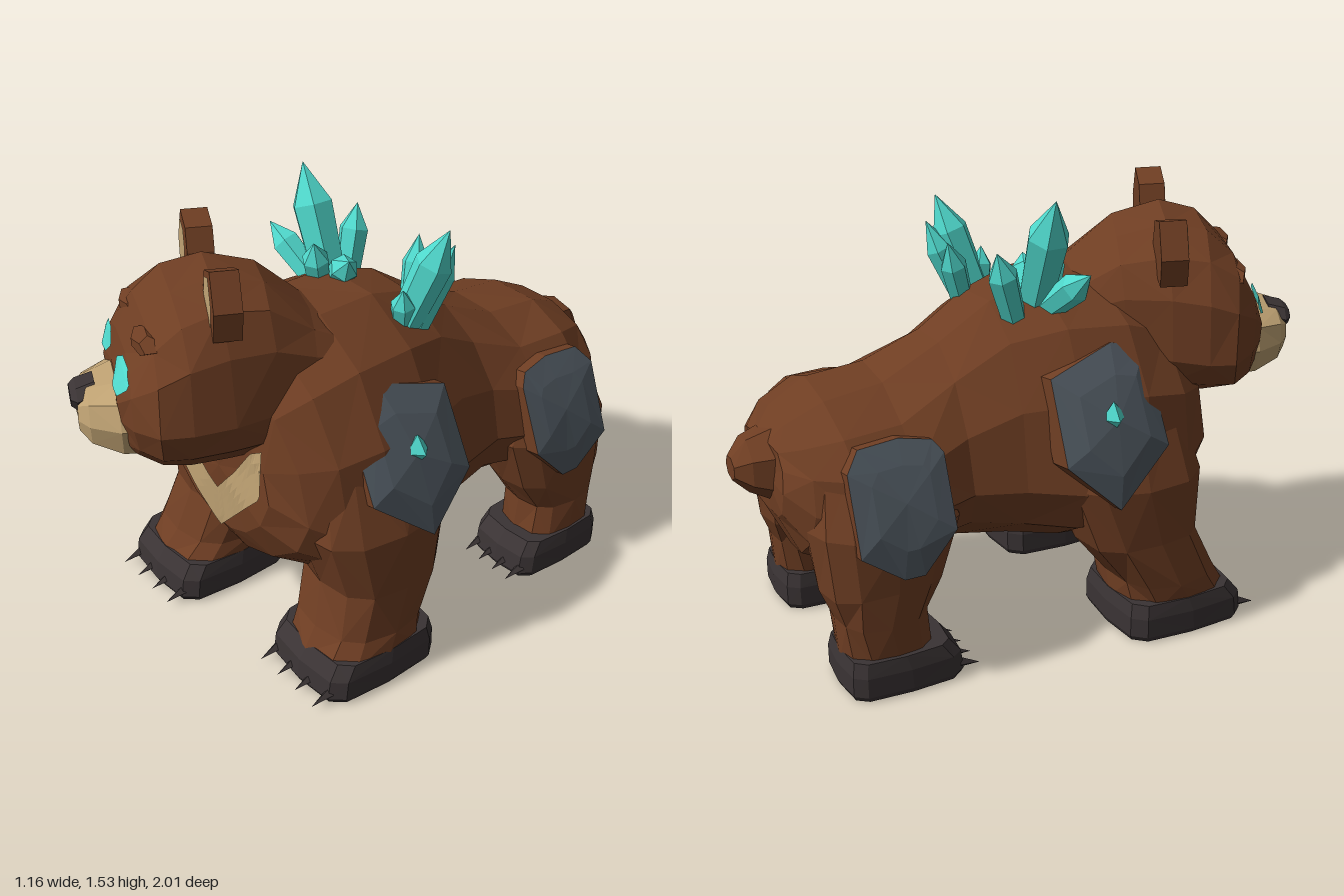
import * as THREE from 'three';

const mat = (name, color, side = THREE.FrontSide) => {
  const m = new THREE.MeshStandardMaterial({ color, side });
  m.name = name;
  return m;
};
const V = (x, y, z) => new THREE.Vector3(x, y, z);
const pow = (c, e) => Math.sign(c) * Math.abs(c) ** e;

// Ring facing z, widest at height cy; e and low square off (small) or slim (large) its two halves
function zRing(z, top, bot, w, cy = (top + bot) / 2, n = 14, e = 0.96, low = e) {
  return Array.from({ length: n }, (_, j) => {
    const a = (j / n) * Math.PI * 2, s = Math.sin(a), up = s > 0;
    return V(w * pow(Math.cos(a), up ? e : low), cy + (up ? top - cy : cy - bot) * pow(s, up ? e : Math.min(low, 1)), z);
  });
}

// Horizontal ring filling a rectangle; a small e squares it off
function yRing(y, xa, xb, z0, z1, e = 0.75, n = 12) {
  return Array.from({ length: n }, (_, j) => {
    const a = (j / n) * Math.PI * 2;
    return V((xa + xb) / 2 + (Math.abs(xb - xa) / 2) * pow(Math.cos(a), e), y,
      (z0 + z1) / 2 - ((z1 - z0) / 2) * pow(Math.sin(a), e));
  });
}

function triangles(list) {
  const g = new THREE.BufferGeometry().setFromPoints(list);
  g.computeVertexNormals();
  return g;
}

// Faceted closed skin over rings, with a little unevenness
function loft(rings, rough = 0) {
  let k = 0;
  const wob = () => Math.sin(++k * 12.9898) * rough;
  const r = rings.map(ring => ring.map(p => V(p.x + wob(), p.y + wob(), p.z + wob())));
  const out = [], n = r[0].length, last = r.length - 1;
  const mid = ring => ring.reduce((s, p) => s.add(p), V(0, 0, 0)).divideScalar(n);
  const c0 = mid(r[0]), c1 = mid(r[last]);
  for (let j = 0; j < n; j++) {
    const q = (j + 1) % n;
    out.push(c0, r[0][q], r[0][j], c1, r[last][j], r[last][q]);
    for (let i = 0; i < last; i++) {
      const [a, b, c, d] = [r[i][j], r[i][q], r[i + 1][q], r[i + 1][j]];
      if ((i + j) % 2) out.push(a, b, c, a, c, d);
      else out.push(a, b, d, b, c, d);
    }
  }
  return triangles(out);
}

// Thin patch laid on a target from the front; columns are [x, bottom, top]
function patch(target, columns, lift, rows = 5, sub = 4) {
  const ray = new THREE.Raycaster(), grid = [], out = [];
  const lerp = THREE.MathUtils.lerp;
  for (let i = 0; i <= (columns.length - 1) * sub; i++) {
    const k = Math.min(Math.floor(i / sub), columns.length - 2), t = i / sub - k;
    const [x, b, top] = columns[k].map((v, m) => lerp(v, columns[k + 1][m], t));
    grid.push(Array.from({ length: rows + 1 }, (_, j) => {
      const y = lerp(b, top, j / rows);
      ray.set(V(x, y, 3), V(0, 0, -1));
      const hit = ray.intersectObject(target, false)[0];
      return V(x, y, (hit ? hit.point.z : 0.5) + lift);
    }));
  }
  for (let i = 0; i + 1 < grid.length; i++) for (let j = 0; j < rows; j++) {
    const [a, b, c, d] = [grid[i][j], grid[i + 1][j], grid[i + 1][j + 1], grid[i][j + 1]];
    out.push(a, b, c, a, c, d);
  }
  return triangles(out);
}

export function createModel() {
  const model = new THREE.Group();
  const fur = mat('brownFur', 0x6f3e23);
  const furRim = mat('brownRim', 0x6f3e23, THREE.DoubleSide);
  const tan = mat('tanFur', 0xbfa273, THREE.DoubleSide);
  const dark = mat('darkPaw', 0x3a3334);
  const slate = mat('slateArmour', 0x4e575f, THREE.DoubleSide);
  const cyan = mat('cyanCrystal', 0x4fd8cc, THREE.DoubleSide);
  const add = (name, geo, material, parent = model) => {
    const m = new THREE.Mesh(geo, material);
    m.name = name;
    parent.add(m);
    return m;
  };

  // Torso and tail
  const torso = (z, top, bot, w, cy) => zRing(z, top, bot, w, cy, 14, 0.96, 1.35);
  const body = add('body', loft([
    torso(-0.89, 0.8, 0.52, 0.22, 0.68), torso(-0.83, 0.87, 0.4, 0.33, 0.62),
    torso(-0.7, 0.93, 0.34, 0.42, 0.59), torso(-0.5, 0.945, 0.3, 0.42, 0.59),
    torso(-0.3, 1.04, 0.3, 0.37, 0.62), torso(-0.12, 1.17, 0.28, 0.41, 0.61),
    torso(0.06, 1.23, 0.27, 0.49, 0.58), torso(0.28, 1.23, 0.27, 0.52, 0.58),
    torso(0.44, 1.17, 0.3, 0.49, 0.6), torso(0.55, 1.08, 0.36, 0.41, 0.66),
    torso(0.61, 0.95, 0.46, 0.28, 0.7),
  ], 0.01), fur);
  add('tail', loft([
    zRing(-1, 0.74, 0.66, 0.05, 0.7, 7), zRing(-0.95, 0.8, 0.61, 0.1, 0.7, 7),
    zRing(-0.86, 0.83, 0.56, 0.14, 0.7, 7),
  ]), fur);

  // Legs, paws and claws; the right foreleg steps ahead
  for (const s of [1, -1]) {
    const side = s > 0 ? 'left' : 'right';
    const step = s > 0 ? 0 : 0.1;
    const ring = (y, a, b, z0, z1, e) => yRing(y, s * a, s * b, z0, z1, e);
    add(side + 'FrontLeg', loft([
      ring(0.11, 0.18, 0.57, 0.12 + step, 0.55 + step), ring(0.2, 0.17, 0.565, 0.12 + step * 0.8, 0.5 + step * 0.8),
      ring(0.36, 0.14, 0.56, 0.04 + step * 0.5, 0.46 + step * 0.6),
      ring(0.58, 0.12, 0.555, -0.01, 0.53), ring(0.8, 0.12, 0.47, 0.03, 0.48), ring(0.95, 0.1, 0.38, 0.08, 0.42),
    ], 0.006), fur);
    add(side + 'HindLeg', loft([
      ring(0.11, 0.19, 0.46, -0.77, -0.46), ring(0.25, 0.18, 0.455, -0.79, -0.48),
      ring(0.36, 0.14, 0.46, -0.82, -0.41), ring(0.56, 0.1, 0.455, -0.85, -0.34),
      ring(0.76, 0.08, 0.35, -0.8, -0.4),
    ], 0.006), fur);
    const paws = [['FrontPaw', 0.165, 0.58, 0.1 + step, 0.58 + step], ['HindPaw', 0.17, 0.48, -0.785, -0.37]];
    for (const [part, x0, x1, z0, z1] of paws) {
      add(side + part, loft([
        ring(0, x0 + 0.01, x1 - 0.01, z0 + 0.01, z1 - 0.01, 0.42), ring(0.02, x0, x1, z0, z1, 0.42),
        ring(0.09, x0, x1, z0, z1 - 0.01, 0.42), ring(0.14, x0 + 0.01, x1 - 0.01, z0 + 0.01, z1 - 0.05, 0.45),
      ]), dark);
      for (let i = 0; i < 4; i++) {
        const claw = add(side + part + 'Claw', new THREE.ConeGeometry(0.02, 0.08, 4).toNonIndexed(), dark);
        claw.geometry.computeVertexNormals();
        claw.position.set(s * (x0 + (x1 - x0) * (0.15 + i * 0.235)), 0.03, z1 + 0.01);
        claw.rotation.x = Math.PI / 2 + 0.25;
      }
    }

    // Armour plates, outlined as [z, y], wrapped over the flank
    const plate = (name, outline, bulge, dz) => {
      const pts = outline.map(([z, y]) => V(s * bulge(y, z), y, z + dz));
      const c = pts.reduce((a, p) => a.add(p), V(0, 0, 0)).divideScalar(pts.length);
      c.x = s * (bulge(c.y, c.z - dz) + 0.005);
      const face = [], rim = [];
      pts.forEach((p, i) => {
        const q = pts[(i + 1) % pts.length];
        const pi = V(p.x - s * 0.1, p.y - 0.02, p.z), qi = V(q.x - s * 0.1, q.y - 0.02, q.z);
        const pm = p.clone().lerp(c, 0.4), qm = q.clone().lerp(c, 0.4);
        pm.x = s * (bulge(pm.y, pm.z - dz) + 0.004);
        qm.x = s * (bulge(qm.y, qm.z - dz) + 0.004);
        const tri = (a, b, d) => (s > 0 ? [a, d, b] : [a, b, d]);
        face.push(...tri(c, pm, qm), ...tri(pm, p, q), ...tri(pm, q, qm));
        rim.push(...tri(p, pi, qi), ...tri(p, qi, q));
      });
      add(name, triangles(face), slate);
      add(name + 'Rim', triangles(rim), furRim);
    };
    const dz = s > 0 ? 0 : -0.03;
    plate(side + 'ShoulderPlate', [[0.23, 1.05], [0.36, 1.02], [0.37, 0.72], [0.16, 0.55], [-0.02, 0.72], [-0.015, 0.98]],
      (y, z) => 0.578 - 0.86 * (y - 0.55) ** 2 - 0.6 * (z - 0.14) ** 2, dz);
    plate(side + 'HipPlate', [[-0.44, 0.83], [-0.55, 0.85], [-0.69, 0.84], [-0.74, 0.78], [-0.74, 0.53],
      [-0.6, 0.43], [-0.53, 0.43], [-0.41, 0.56], [-0.41, 0.79]], y => 0.485 - 0.85 * (y - 0.43) ** 2, 0);
    const gem = add(side + 'ShoulderGem', new THREE.OctahedronGeometry(1), cyan);
    gem.scale.set(0.045, 0.058, 0.045);
    gem.position.set(s * 0.492, 0.845, 0.17 + dz);
  }

  // Head, turned and tilted
  const head = new THREE.Group();
  head.name = 'head';
  head.position.set(-0.085, 1.08, 0.55);
  head.rotation.set(0, -0.4, 0.08);
  model.add(head);
  const skullRing = (z, top, bot, w) => zRing(z, top, bot, w, -0.1, 14, 0.74, 0.9);
  const skull = add('skull', loft([
    skullRing(-0.45, 0.06, -0.38, 0.2), skullRing(-0.3, 0.15, -0.34, 0.24),
    skullRing(-0.16, 0.27, -0.33, 0.29), skullRing(0, 0.31, -0.32, 0.34),
    skullRing(0.13, 0.28, -0.31, 0.36), skullRing(0.225, 0.2, -0.29, 0.355),
    skullRing(0.295, 0.09, -0.26, 0.28), skullRing(0.33, 0, -0.24, 0.2),
  ], 0.008), fur, head);
  for (const s of [1, -1]) {
    const brow = add(s > 0 ? 'leftBrow' : 'rightBrow', new THREE.DodecahedronGeometry(1), fur, head);
    brow.scale.set(0.11, 0.035, 0.05);
    brow.position.set(s * 0.15, 0.145, 0.225);
  }
  const snoutRing = (z, top, bot, w) => zRing(z, top, bot, w, -0.14, 10, 0.78);
  add('muzzle', loft([
    snoutRing(0.2, -0.02, -0.285, 0.225), snoutRing(0.33, -0.015, -0.275, 0.205),
    snoutRing(0.42, -0.035, -0.24, 0.14), snoutRing(0.452, -0.07, -0.2, 0.08),
  ], 0.004), tan, head);
  add('nose', loft([
    zRing(0.39, -0.025, -0.1, 0.075, -0.06, 6), zRing(0.45, -0.04, -0.13, 0.08, -0.075, 6),
    zRing(0.47, -0.055, -0.115, 0.055, -0.075, 6),
  ]), dark, head);

  // Ears with pale inner faces
  const earOutline = [[-0.08, 0], [-0.09, 0.1], [-0.02, 0.21], [0.07, 0.17], [0.09, 0.09], [0.07, 0]];
  for (const s of [1, -1]) {
    const shape = k => new THREE.Shape(earOutline.map(([x, y]) => new THREE.Vector2(-s * x * k, y * k)));
    const ear = add(s > 0 ? 'leftEar' : 'rightEar',
      new THREE.ExtrudeGeometry(shape(1), { depth: 0.09, bevelEnabled: false }), fur, head);
    ear.position.set(s * 0.23 - 0.02, 0.175, -0.05);
    ear.rotation.set(-0.04, 0, -s * 0.1);
    const inner = add('innerEar', new THREE.ShapeGeometry(shape(0.7)), tan, ear);
    inner.position.set(0, 0.04, 0.094);
  }
  model.updateMatrixWorld(true);

  // Glowing eyes and chest blaze laid on the surface
  add('rightEye', patch(skull, [[-0.415, 1.08, 1.1], [-0.38, 1.065, 1.145], [-0.31, 1.075, 1.155], [-0.265, 1.115, 1.125]], 0.016), cyan);
  add('leftEye', patch(skull, [[-0.165, 1.13, 1.14], [-0.11, 1.095, 1.17], [-0.03, 1.09, 1.17], [0.02, 1.13, 1.145]], 0.016), cyan);
  add('chestBlaze', patch(body, [[-0.315, 0.7, 0.78], [-0.28, 0.67, 0.82], [-0.2, 0.62, 0.77], [-0.1, 0.54, 0.69],
    [0, 0.46, 0.62], [0.1, 0.56, 0.73], [0.2, 0.66, 0.86], [0.24, 0.7, 0.88], [0.25, 0.72, 0.8]], 0.012), tan);

  // Crystals on the back: base, tip, radius
  const crystals = [
    [V(-0.12, 1.12, 0.04), V(-0.29, 1.53, 0.03), 0.074], [V(-0.16, 1.12, 0.06), V(-0.38, 1.3, 0.11), 0.052],
    [V(-0.16, 1.1, -0.05), V(-0.21, 1.36, -0.14), 0.052], [V(-0.14, 1.12, 0.08), V(-0.1, 1.33, 0.13), 0.048],
    [V(-0.12, 1.15, 0.03), V(0, 1.28, 0.06), 0.05], [V(0.17, 1.06, -0.02), V(0.27, 1.44, -0.14), 0.065],
    [V(0.12, 1.06, -0.1), V(0.06, 1.33, -0.19), 0.047], [V(0.19, 1.05, -0.06), V(0.24, 1.36, -0.19), 0.048],
    [V(0.18, 1.06, -0.02), V(0.22, 1.25, 0.01), 0.042],
  ];
  for (const [base, tip, r] of crystals) {
    const dir = tip.clone().sub(base), len = dir.length();
    const profile = [[0, 0], [r * 0.82, 0], [r, len * 0.68], [0, len]].map(([x, y]) => new THREE.Vector2(x, y));
    const geo = new THREE.LatheGeometry(profile, 6).toNonIndexed();
    geo.computeVertexNormals();
    const c = add('backCrystal', geo, cyan);
    c.position.copy(base);
    c.quaternion.setFromUnitVectors(V(0, 1, 0), dir.normalize());
  }
  return model;
}
